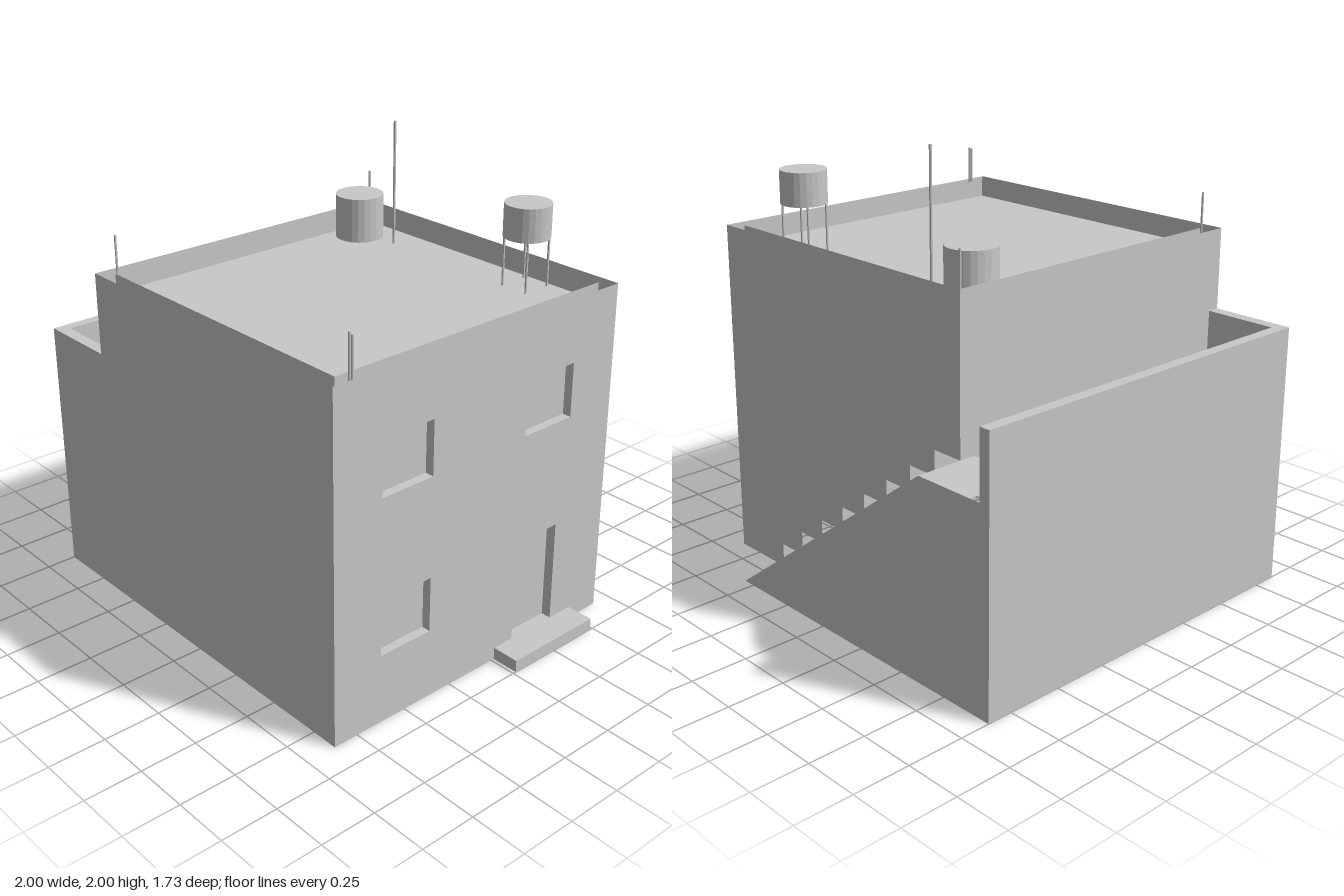
import * as THREE from 'three';

export function createModel() {
  const house = new THREE.Group();
  house.name = 'house';
  const plaster = new THREE.MeshStandardMaterial({ color: 0xc8c8c8, side: THREE.DoubleSide });
  plaster.name = 'plaster';

  const add = (name, geometry, x = 0, y = 0, z = 0) => {
    const mesh = new THREE.Mesh(geometry, plaster);
    mesh.name = name;
    mesh.position.set(x, y, z);
    house.add(mesh);
    return mesh;
  };
  const outline = (pts) => pts.map(([a, b]) => new THREE.Vector2(a, b));
  const rect = (a0, a1, b0, b1) => [[a0, b0], [a1, b0], [a1, b1], [a0, b1]];
  const sheet = (pts, holes = []) => {
    const shape = new THREE.Shape(outline(pts));
    for (const h of holes) shape.holes.push(new THREE.Path(outline(h)));
    return new THREE.ShapeGeometry(shape);
  };
  // Thin sheets: wallZ takes (x, y), wallX takes (z, y), slab takes (x, z)
  const wallZ = (name, z, pts) => add(name, sheet(pts), 0, 0, z);
  const wallX = (name, x, pts, holes) => add(name, sheet(pts, holes).rotateY(-Math.PI / 2), x);
  const slab = (name, y, x0, x1, z0, z1) =>
    add(name, new THREE.PlaneGeometry(x1 - x0, z1 - z0).rotateX(-Math.PI / 2), (x0 + x1) / 2, y, (z0 + z1) / 2);

  const L = -1, M = -0.62, R = 0.875, F = 0.865, B = -0.655, BB = -0.865;
  const top = 1.52, roofY = 1.44, terraceTop = 1.16, terraceY = 0.872;

  // Front wall, stepped down over the terrace
  wallZ('frontWall', F, [[L, 0], [R, 0], [R, top], [M, top], [M, terraceTop], [L, terraceTop]]);

  // Side wall with three windows and a door
  const windows = [[0.37, 0.63, 1.0, 1.24], [-0.41, -0.14, 1.0, 1.24], [0.37, 0.63, 0.31, 0.555]];
  const door = [-0.36, -0.12, 0.055, 0.515];
  const openings = [...windows, door];
  wallX('sideWall', R, rect(B, F, 0, top), openings.map((o) => rect(...o)));
  openings.forEach(([z0, z1, y0, y1], i) => {
    const kind = i < 3 ? 'window' : 'door';
    const depth = i < 3 ? 0.04 : 0.045;
    const inner = R - depth;
    wallX(kind + 'Panel', inner, rect(z0, z1, y0, y1));
    slab(kind + 'Sill', y0, inner, R, z0, z1);
    slab(kind + 'Head', y1, inner, R, z0, z1);
    for (const z of [z0, z1]) wallZ(kind + 'Jamb', z, rect(inner, R, y0, y1));
  });
  add('doorStep', new THREE.BoxGeometry(0.125, 0.055, 0.47), 0.9375, 0.0275, -0.25);

  // Back wall, cut along the stair line
  const steps = 8, stairX = 0.56;
  const run = (stairX - M) / steps, rise = terraceY / steps;
  const back = [[R, 0], [R, top], [M, top], [M, terraceY]];
  for (let i = steps; i > 0; i--) {
    back.push([stairX - (i - 1) * run, i * rise], [stairX - (i - 1) * run, (i - 1) * rise]);
  }
  wallZ('backWall', B, back);

  // Stair ramp with its outer cheek and end wall
  const slope = Math.atan2(terraceY, stairX - M);
  const ramp = add('stairRamp',
    new THREE.PlaneGeometry(Math.hypot(terraceY, stairX - M), B - BB).rotateX(-Math.PI / 2),
    (stairX + M) / 2, terraceY / 2, (B + BB) / 2);
  ramp.rotation.z = -slope;
  wallZ('stairCheek', BB, [[stairX, 0], [M, terraceY], [M, 0]]);
  wallX('stairEndWall', M, rect(BB, B, 0, terraceY));

  // Terrace: outer walls, floor, landing and parapet
  wallX('terraceSideWall', L, rect(BB, F, 0, terraceTop));
  wallZ('terraceBackWall', BB, [[L, 0], [M, 0], [M, terraceY], [-0.95, terraceY], [-0.95, terraceTop], [L, terraceTop]]);
  wallX('upperFloorWall', M, rect(B, F, 0.77, top));
  slab('terraceFloor', 0.862, -0.9, M, -0.585, 0.765);
  slab('stairLanding', terraceY, -0.9, M, BB, -0.585);
  slab('terraceParapetTop', terraceTop, L, -0.95, BB, F);
  slab('terraceParapetTop', terraceTop, -0.95, M, 0.81, F);
  wallX('terraceParapetInside', -0.95, rect(BB, 0.81, 0.86, terraceTop));
  wallZ('terraceParapetInside', 0.81, rect(-0.95, M, 0.86, terraceTop));

  // Flat roof sunk behind an open-topped parapet
  const [x0, x1, z0, z1] = [-0.56, 0.815, -0.605, 0.805];
  slab('roof', roofY, x0, x1, z0, z1);
  for (const x of [x0, x1]) wallX('parapetInside', x, rect(z0, z1, roofY, top));
  for (const z of [z0, z1]) wallZ('parapetInside', z, rect(x0, x1, roofY, top));

  // Water tanks and stand legs
  const cylinder = (name, x, z, r, y0, y1, sides) =>
    add(name, new THREE.CylinderGeometry(r, r, y1 - y0, sides).toNonIndexed(), x, (y0 + y1) / 2, z).geometry.computeVertexNormals();
  cylinder('lowWaterTank', -0.443, -0.432, 0.108, roofY, 1.64, 24);
  cylinder('raisedWaterTank', 0.5, -0.513, 0.1, 1.657, 1.802, 24);
  for (const dx of [-0.065, 0.065]) {
    for (const dz of [-0.065, 0.065]) cylinder('tankLeg', 0.5 + dx, -0.513 + dz, 0.005, roofY, 1.657, 8);
  }

  // Mast and corner rods
  cylinder('mast', -0.257, -0.472, 0.006, roofY, 2, 8);
  for (const [x, z] of [[-0.575, -0.612], [-0.575, 0.785], [0.832, 0.75], [0.858, 0.76]]) {
    cylinder('cornerRod', x, z, 0.005, roofY, 1.68, 8);
  }
  return house;
}
